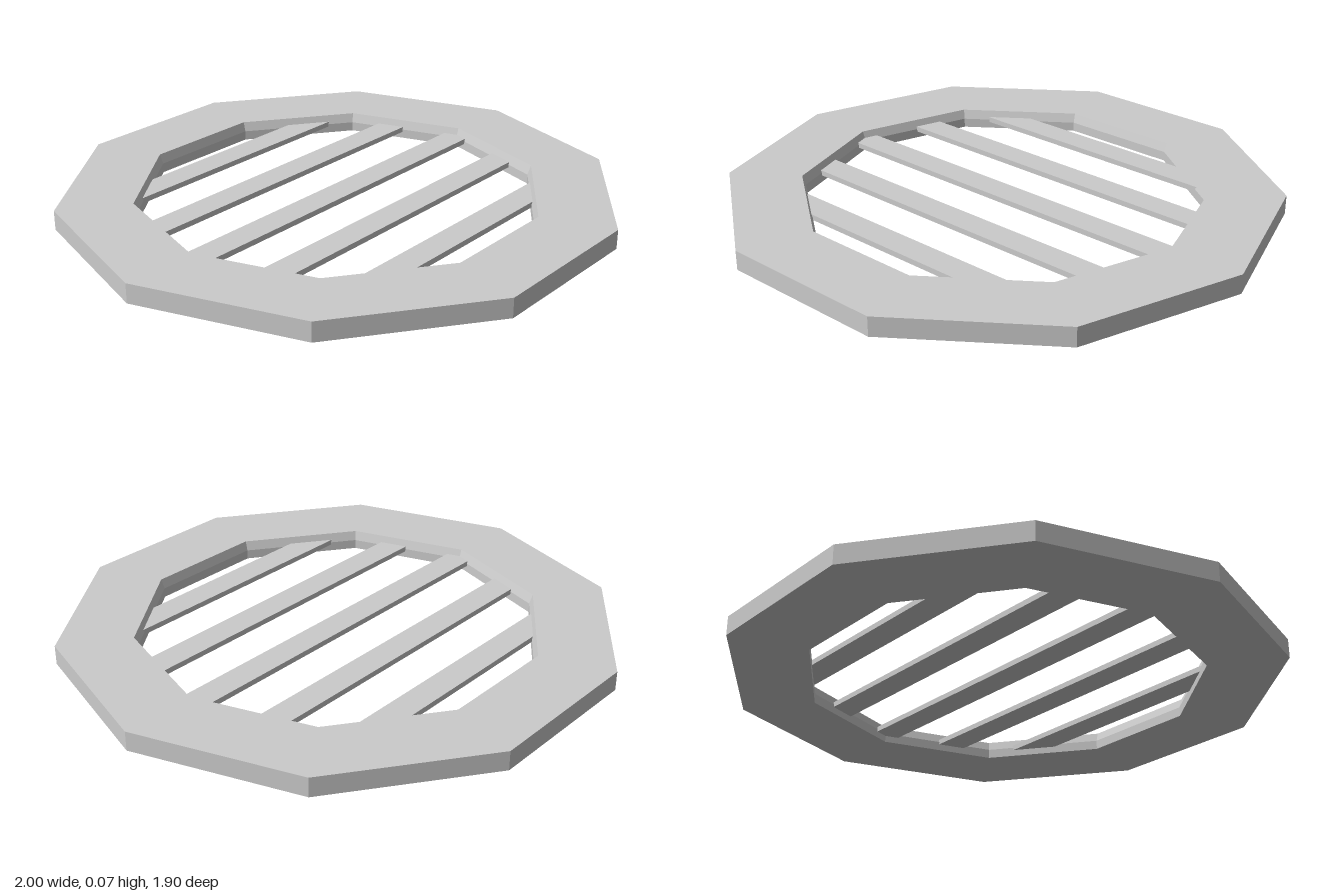
import * as THREE from 'three';

const SIDES = 10;
const HEIGHT = 0.07;

// Half-width in x of a decagon (corner on the x axis) at depth z
function halfWidth(radius, z) {
  const a = Math.abs(z);
  for (let i = 0; i < SIDES / 4; i++) {
    const t0 = (i * 2 * Math.PI) / SIDES, t1 = ((i + 1) * 2 * Math.PI) / SIDES;
    const z0 = radius * Math.sin(t0), z1 = radius * Math.sin(t1);
    if (a <= z1) {
      const k = (a - z0) / (z1 - z0);
      return radius * (Math.cos(t0) + k * (Math.cos(t1) - Math.cos(t0)));
    }
  }
  return 0;
}

export function createModel() {
  const group = new THREE.Group();
  group.name = 'ventGrate';
  const material = new THREE.MeshStandardMaterial({ color: 0xcccccc, flatShading: true });

  // Ten-sided frame with a slightly tapered opening
  const profile = [
    [0.718, 0], [1, 0], [1, HEIGHT], [0.73, HEIGHT], [0.718, HEIGHT / 2], [0.718, 0],
  ].map(([r, y]) => new THREE.Vector2(r, y));
  const frameGeometry = new THREE.LatheGeometry(profile, SIDES, Math.PI / 2);
  const frame = new THREE.Mesh(frameGeometry, material);
  frame.name = 'frame';
  group.add(frame);

  // Five flat slats, their ends set just inside the frame
  const slats = new THREE.Group();
  slats.name = 'slats';
  for (let i = -2; i <= 2; i++) {
    const z = i * 0.266;
    const length = 2 * halfWidth(0.73, Math.max(Math.abs(z) - 0.05, 0)) + 0.02;
    const slat = new THREE.Mesh(new THREE.BoxGeometry(length, 0.02, 0.1), material);
    slat.name = 'slat';
    slat.position.set(0, HEIGHT / 2, z);
    slats.add(slat);
  }
  group.add(slats);
  return group;
}
